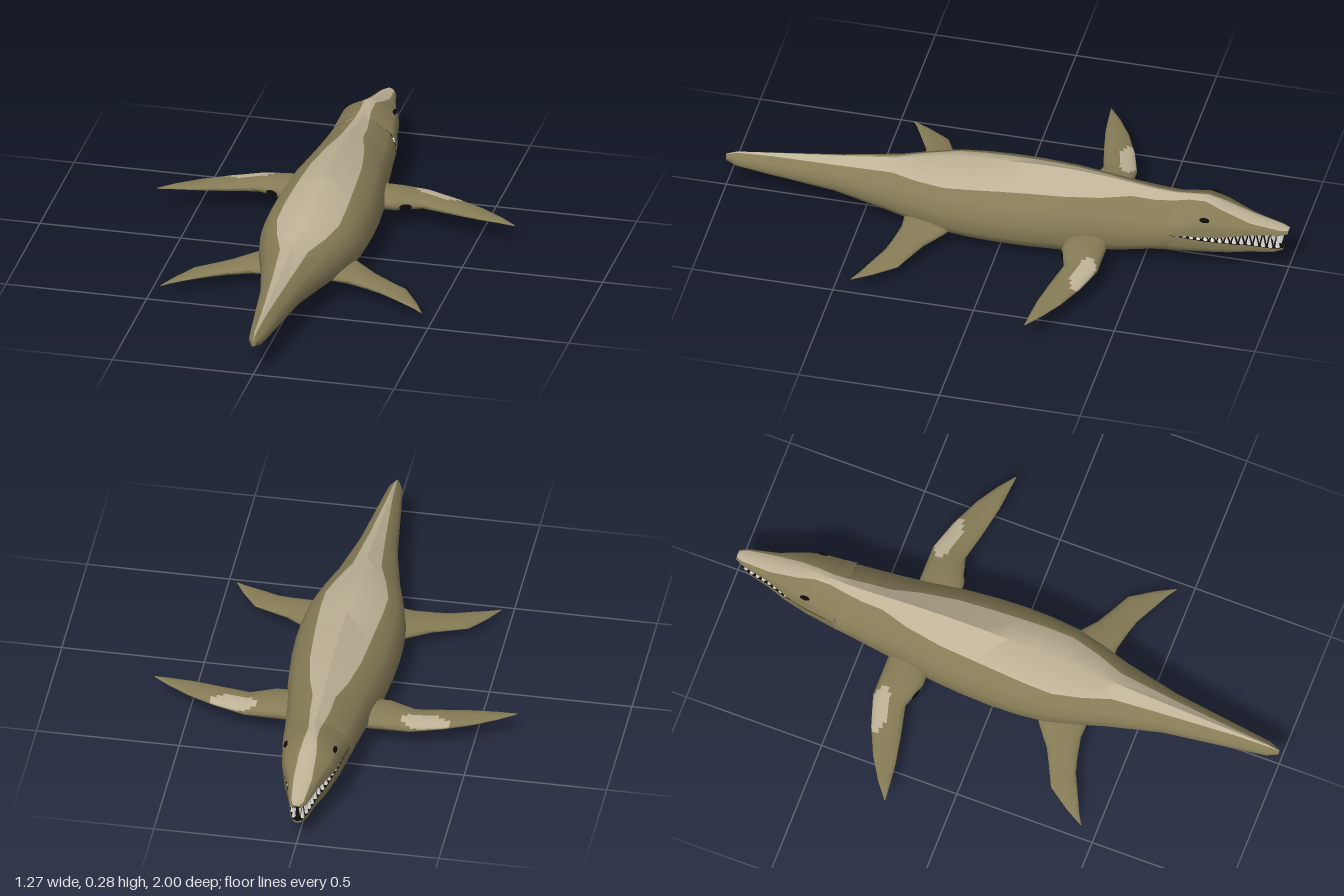
import * as THREE from 'three';
import { toCreasedNormals } from 'three/addons/utils/BufferGeometryUtils.js';

const mat = (name, color, side = THREE.FrontSide) => {
  const m = new THREE.MeshStandardMaterial({ color, side });
  m.name = name;
  return m;
};

// Skin a list of equal-length rings; pick(i, centre) chooses the material of each face.
function loft(rings, pick, materialCount, flip = false) {
  const n = rings[0].length, pos = rings.flat(2), lists = [];
  for (let k = 0; k < materialCount; k++) lists.push([]);
  for (let j = 0; j < rings.length - 1; j++) {
    for (let i = 0; i < n; i++) {
      const i2 = (i + 1) % n;
      const a = j * n + i, b = j * n + i2, c = a - i + n + i2, d = a + n;
      const p = rings[j][i], q = rings[j + 1][i2];
      const centre = p.map((v, k) => (v + q[k]) / 2);
      lists[pick(i, centre)].push(...(flip ? [a, c, d, a, b, c] : [a, d, c, a, c, b]));
    }
  }
  const g = new THREE.BufferGeometry();
  g.setAttribute('position', new THREE.Float32BufferAttribute(pos, 3));
  g.setIndex(lists.flat());
  let start = 0;
  lists.forEach((l, k) => { g.addGroup(start, l.length, k); start += l.length; });
  return toCreasedNormals(g, 1.0);
}

// Collapse a ring to its centre, to close an end.
function cap(ring) {
  const c = [0, 1, 2].map(k => ring.reduce((s, p) => s + p[k], 0) / ring.length);
  return ring.map(() => c);
}

// Mirror a half outline [x, t], running from top to bottom, into a full ring.
function mirrorRing(half, z, w, top, bottom) {
  const left = half.map(([x, t]) => [x * w, bottom + t * (top - bottom), z]);
  const right = left.slice(1, -1).reverse().map(([x, y, zz]) => [-x, y, zz]);
  return [...left, ...right];
}

// Linear in-between stations.
function refine(stations, steps) {
  const out = [];
  for (let k = 0; k < stations.length - 1; k++)
    for (let s = 0; s < steps; s++)
      out.push(stations[k].map((v, e) => v + (stations[k + 1][e] - v) * s / steps));
  out.push(stations[stations.length - 1]);
  return out;
}

export function createModel() {
  const model = new THREE.Group();
  const olive = mat('olive skin', 0x857b56);
  const tan = mat('pale back', 0xbdb296);
  const dark = mat('dark mouth and eyes', 0x0c0b09);
  const white = mat('white teeth', 0xf4f2ea);
  const add = (name, geometry, material) => {
    const mesh = new THREE.Mesh(geometry, material);
    mesh.name = name;
    model.add(mesh);
    return mesh;
  };

  // Body and tail: z, half width, top, bottom, half width of pale stripe
  const body = [
    [-0.6, 0.12, 0.255, 0.055, 0.026], [-0.53, 0.127, 0.258, 0.048, 0.035],
    [-0.45, 0.136, 0.268, 0.032, 0.04], [-0.35, 0.148, 0.281, 0.018, 0.068],
    [-0.22, 0.17, 0.29, 0.005, 0.09], [-0.1, 0.181, 0.289, 0.007, 0.099],
    [0, 0.185, 0.285, 0.01, 0.105], [0.1, 0.183, 0.279, 0.014, 0.11],
    [0.2, 0.173, 0.27, 0.02, 0.11], [0.3, 0.148, 0.25, 0.033, 0.085],
    [0.4, 0.118, 0.228, 0.047, 0.05], [0.6, 0.072, 0.2, 0.075, 0.03],
    [0.84, 0.041, 0.17, 0.09, 0.01], [0.96, 0.025, 0.154, 0.1, 0.004],
    [1, 0.008, 0.138, 0.112, 0.001],
  ];
  const bodyRings = body.map(([z, w, top, bottom, stripe]) => {
    const s = stripe / w;
    return mirrorRing([[0, 1], [s, 1 - 0.366 * s], [0.82, 0.7], [0.97, 0.5], [1, 0.3],
      [0.9, 0.17], [0.65, 0.07], [0, 0]], z, w, top, bottom);
  });
  bodyRings.push(cap(bodyRings[bodyRings.length - 1]));
  const last = bodyRings[0].length - 1;
  add('body', loft(bodyRings, i => (i === 0 || i === last ? 1 : 0), 2), [olive, tan]);

  // Upper jaw and skull: z, half width, top, bottom, stripe, shoulder height
  const skull = [
    [-1, 0.018, 0.172, 0.158, 0.012, 0.6], [-0.975, 0.031, 0.178, 0.157, 0.022, 0.6],
    [-0.87, 0.055, 0.205, 0.156, 0.032, 0.6], [-0.77, 0.092, 0.243, 0.155, 0.03, 0.6],
    [-0.71, 0.104, 0.263, 0.155, 0.022, 0.6], [-0.65, 0.112, 0.259, 0.155, 0.02, 0.5],
    [-0.6, 0.12, 0.255, 0.155, 0.026, 0.4],
  ];
  const skullRings = skull.map(([z, w, top, bottom, stripe, shoulder]) => {
    const s = stripe / w;
    return mirrorRing([[0, 1], [s, 1 - (1 - shoulder) * s / 0.84], [0.84, shoulder],
      [0.95, shoulder * 0.5], [0.98, 0], [0, 0]], z, w, top, bottom);
  });
  skullRings.unshift(cap(skullRings[0]));
  add('upperJaw', loft(skullRings, i => (i === 0 || i === 9 ? 1 : i === 4 || i === 5 ? 2 : 0), 3),
    [olive, tan, dark]);

  // Lower jaw: z, half width, top, bottom
  const jaw = [
    [-0.98, 0.014, 0.092, 0.08], [-0.95, 0.03, 0.096, 0.071], [-0.87, 0.05, 0.11, 0.065],
    [-0.8, 0.076, 0.122, 0.061], [-0.71, 0.1, 0.137, 0.059], [-0.6, 0.12, 0.155, 0.055],
  ];
  const jawRings = jaw.map(([z, w, top, bottom]) => mirrorRing(
    [[0, 1], [0.98, 1], [1, 0.6], [0.9, 0.34], [0.65, 0.14], [0, 0]], z, w, top, bottom));
  jawRings.unshift(cap(jawRings[0]));
  add('lowerJaw', loft(jawRings, i => (i === 0 || i === 9 ? 1 : 0), 2), [olive, dark]);

  // Teeth along both jaws, shrinking towards the mouth corner
  const at = (table, z, k) => {
    const i = Math.max(1, table.findIndex(r => r[0] >= z));
    const [p, q] = [table[i - 1], table[i]];
    return p[k] + (q[k] - p[k]) * (z - p[0]) / (q[0] - p[0]);
  };
  const tooth = new THREE.ConeGeometry(0.009, 1, 5);
  for (const side of [-1, 1]) {
    for (let k = 0; k < 15; k++) {
      for (const upper of [true, false]) {
        const z = -0.975 + k * 0.024 + (upper ? 0 : 0.012);
        const table = upper ? skull : jaw;
        const root = at(table, z, upper ? 3 : 2);
        const gap = at(skull, z, 3) - at(jaw, z, 2);
        const h = Math.max(0.008, gap * 0.85);
        const t = add(upper ? 'upperTooth' : 'lowerTooth', tooth, white);
        t.scale.set(0.8, h, 1);
        if (upper) t.rotation.x = Math.PI;
        const w = Math.min(at(skull, z, 1), at(jaw, z, 1));
        t.position.set(side * Math.max(0.006, w * 0.97 - 0.007), root + (upper ? -h : h) / 2, z);
      }
    }
  }

  // Flippers: x, leading z, trailing z, height, half thickness
  const front = [
    [0.1, -0.39, -0.24, 0.092, 0.036], [0.2, -0.39, -0.24, 0.092, 0.034],
    [0.29, -0.39, -0.27, 0.09, 0.024], [0.4, -0.355, -0.245, 0.087, 0.016],
    [0.5, -0.31, -0.226, 0.085, 0.01], [0.58, -0.26, -0.218, 0.083, 0.006],
    [0.635, -0.217, -0.213, 0.08, 0.002],
  ];
  const rear = [
    [0.08, 0.13, 0.34, 0.078, 0.028], [0.175, 0.178, 0.335, 0.069, 0.024],
    [0.25, 0.237, 0.35, 0.06, 0.018], [0.3, 0.263, 0.364, 0.054, 0.014],
    [0.375, 0.3, 0.4, 0.046, 0.009], [0.43, 0.38, 0.426, 0.039, 0.005],
    [0.463, 0.441, 0.446, 0.034, 0.002],
  ];
  const finRings = (stations, side) => {
    const rings = refine(stations, 5).map(([x, lead, trail, y, t]) => {
      const ring = [];
      for (let i = 0; i < 24; i++) {
        const a = i / 24 * Math.PI * 2;
        ring.push([side * x, y + Math.sin(a) * t, (lead + trail) / 2 + Math.cos(a) * (trail - lead) / 2]);
      }
      return ring;
    });
    rings.push(cap(rings[rings.length - 1]));
    return rings;
  };
  // Pale oval on the upper face of the front flippers
  const patch = (i, [x, , z]) => {
    const u = (Math.abs(x) - 0.335) / 0.085, v = (z + 0.348 - (Math.abs(x) - 0.335) * 0.15) / 0.032;
    return i < 12 && u * u + v * v < 1 ? 1 : 0;
  };
  for (const side of [-1, 1]) {
    const name = side > 0 ? 'left' : 'right';
    add(name + 'FrontFlipper', loft(finRings(front, side), patch, 2, side < 0), [olive, tan]);
    add(name + 'RearFlipper', loft(finRings(rear, side), () => 0, 1, side < 0), [olive]);

    // Dark fold behind the front flipper
    const fold = add(name + 'FlipperFold', new THREE.SphereGeometry(1, 12, 8), dark);
    fold.scale.set(0.022, 0.012, 0.004);
    fold.position.set(side * 0.238, 0.088, -0.252);
    fold.rotation.y = side * 0.32;

    // Eye
    const eye = add(name + 'Eye', new THREE.SphereGeometry(1, 12, 8), dark);
    eye.scale.set(0.006, 0.009, 0.018);
    eye.position.set(side * 0.087, 0.219, -0.72);
    eye.rotation.z = side * 0.5;
  }
  return model;
}
